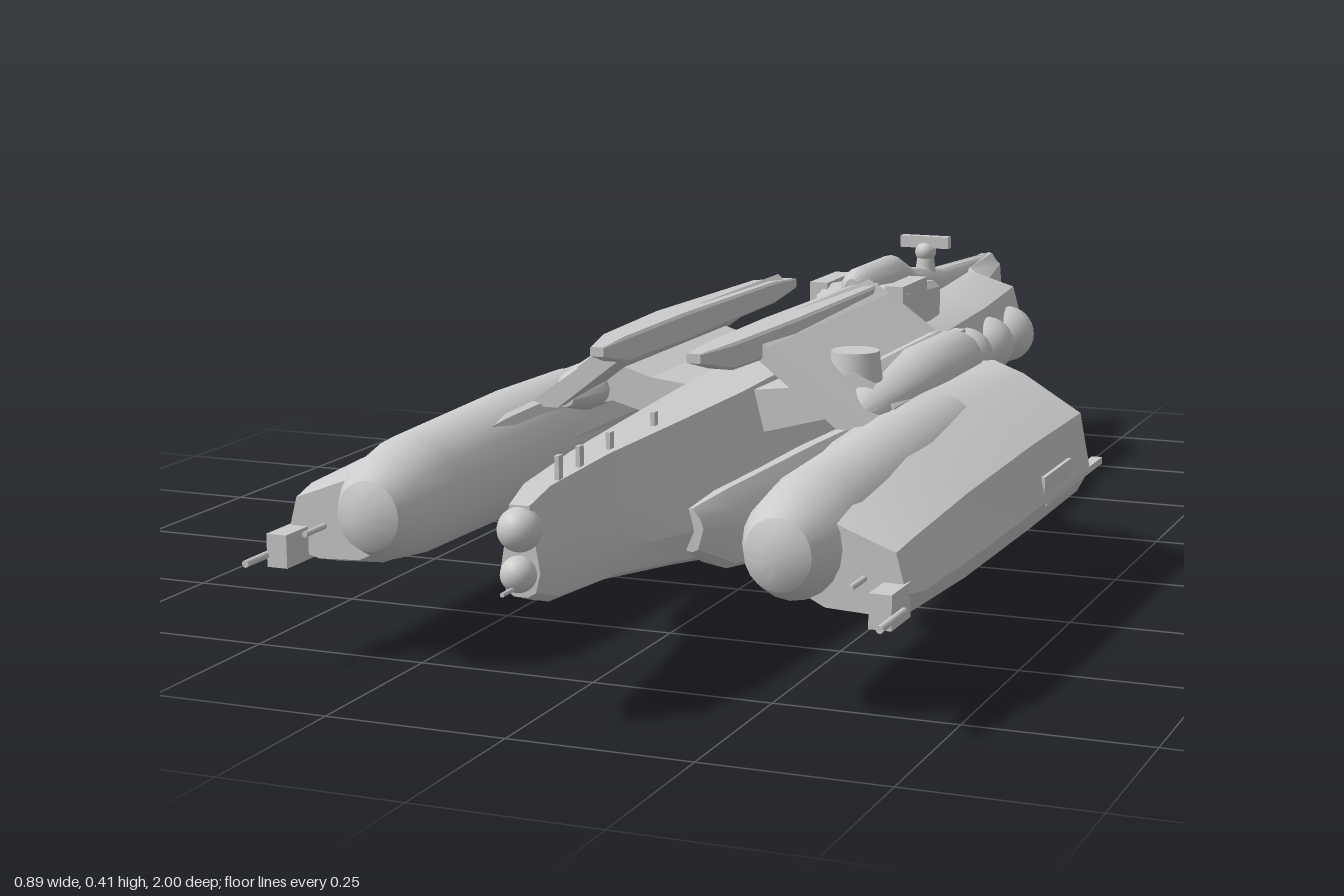
import * as THREE from 'three';
import { toCreasedNormals } from 'three/addons/utils/BufferGeometryUtils.js';

const mat = new THREE.MeshStandardMaterial({ color: 0xcccccc, side: THREE.DoubleSide });

// Outlines in a -1..1 square, counter-clockwise seen from the front
const round = (n) => Array.from({ length: n }, (_, i) => {
  const a = (i / n) * Math.PI * 2;
  return [Math.cos(a), Math.sin(a)];
});
const HULL = [[0.5, 1], [-0.5, 1], [-0.72, 0.3], [-1, -0.45], [-0.75, -0.88], [-0.35, -1], [0.35, -1], [0.75, -0.88], [1, -0.45], [0.72, 0.3]];
const TAIL = [[0.3, 1], [-0.3, 1], [-0.9, 0.7], [-1, 0.1], [-0.5, -0.9], [-0.3, -1], [0.3, -1], [0.5, -0.9], [1, 0.1], [0.9, 0.7]];
const POD = [[0.85, 0.35], [0, 0.85], [-0.45, 1], [-0.8, 0.92], [-1, 0.3], [-0.75, -0.5], [-0.15, -0.95], [0.5, -1], [0.82, -0.88], [1, -0.5]];
const SIDE = [[0.1, 1], [-1, 0.9], [-1, -0.9], [0.1, -1], [0.55, -0.85], [1, 0.1], [0.75, 0.55]];
const BLOCK = [[0.85, 1], [-0.85, 1], [-1, 0.8], [-1, -0.8], [-0.85, -1], [0.85, -1], [1, -0.8], [1, 0.8]];

export function createModel() {
  const root = new THREE.Group();

  function add(name, geo, x = 0, y = 0, z = 0) {
    const m = new THREE.Mesh(geo, mat);
    m.name = name;
    m.position.set(x, y, z);
    root.add(m);
    return m;
  }
  const box = (name, w, h, d, x, y, z) => add(name, new THREE.BoxGeometry(w, h, d), x, y, z);
  const ball = (name, r, x, y, z) => add(name, new THREE.SphereGeometry(r, 24, 16), x, y, z);
  const rod = (name, r, len, x, y, z) => {
    add(name, new THREE.CylinderGeometry(r, r, len, 12), x, y, z).rotation.x = Math.PI / 2;
  };

  // Skin an outline through rows of [z, x0, x1, y0, y1, skew], front to back, with end caps
  function loft(name, outline, rows, s = 1, crease = 0.6) {
    const n = outline.length, v = [], idx = [];
    const pts = s < 0 ? [...outline].reverse() : outline;
    for (const [z, x0, x1, y0, y1, skew = 0] of rows)
      for (const [u, w] of pts) {
        const x = (x0 + x1) / 2 + (u * (x1 - x0)) / 2;
        v.push(s * x, (y0 + y1) / 2 + (w * (y1 - y0)) / 2, z + skew * (x - 0.33));
      }
    for (let k = 0; k < rows.length - 1; k++)
      for (let i = 0; i < n; i++) {
        const a = k * n + i, b = k * n + ((i + 1) % n);
        idx.push(a, a + n, b, b, a + n, b + n);
      }
    const last = (rows.length - 1) * n;
    for (const [o, front] of [[0, true], [last, false]]) {
      const c = v.length / 3, sum = [0, 0, 0];
      for (let i = 0; i < n; i++) for (let d = 0; d < 3; d++) sum[d] += v[(o + i) * 3 + d] / n;
      v.push(...sum);
      for (let i = 0; i < n; i++) {
        const a = o + i, b = o + ((i + 1) % n);
        idx.push(c, front ? a : b, front ? b : a);
      }
    }
    const g = new THREE.BufferGeometry();
    g.setAttribute('position', new THREE.Float32BufferAttribute(v, 3));
    g.setIndex(idx);
    return add(name, toCreasedNormals(g, crease));
  }

  // Central hull, keel and tail
  loft('hull', HULL, [
    [0.95, -0.027, 0.027, 0.165, 0.28], [0.9, -0.036, 0.036, 0.148, 0.295],
    [0.75, -0.052, 0.052, 0.14, 0.305], [0.55, -0.075, 0.075, 0.112, 0.31],
    [0.35, -0.095, 0.095, 0.08, 0.315], [0.05, -0.105, 0.105, 0.034, 0.325],
    [-0.3, -0.105, 0.105, 0.05, 0.325], [-0.39, -0.1, 0.1, 0.08, 0.32]]);
  loft('keel', HULL.map(([x, y]) => [x, -y]).reverse(), [
    [0.08, -0.035, 0.035, 0.025, 0.05], [0, -0.045, 0.045, 0.002, 0.06], [-0.32, -0.045, 0.045, 0, 0.07]]);
  loft('tail', TAIL, [
    [-0.2, -0.11, 0.11, 0.08, 0.33], [-0.4, -0.12, 0.12, 0.1, 0.32], [-0.6, -0.12, 0.12, 0.145, 0.32],
    [-0.78, -0.115, 0.115, 0.185, 0.325], [-0.8, -0.055, 0.055, 0.19, 0.33],
    [-0.95, -0.03, 0.03, 0.215, 0.335], [-0.98, -0.02, 0.02, 0.23, 0.325]]);
  loft('upperRearBlock', BLOCK, [
    [-0.23, -0.055, 0.055, 0.26, 0.36], [-0.27, -0.08, 0.08, 0.26, 0.375], [-0.45, -0.075, 0.075, 0.26, 0.36], [-0.56, -0.04, 0.04, 0.27, 0.33]]);
  loft('dorsalRidge', round(16), [
    [-0.23, -0.012, 0.012, 0.36, 0.39], [-0.26, -0.03, 0.03, 0.33, 0.403], [-0.42, -0.03, 0.03, 0.33, 0.403],
    [-0.5, -0.028, 0.028, 0.3, 0.372], [-0.66, -0.024, 0.024, 0.29, 0.35], [-0.97, -0.015, 0.015, 0.27, 0.335]]);

  // Nose sensors and aerials
  ball('upperNoseSensor', 0.028, 0, 0.25, 0.95);
  ball('lowerNoseSensor', 0.023, 0, 0.195, 0.955);
  rod('noseProbe', 0.003, 0.08, 0, 0.18, 0.96);
  rod('tailProbe', 0.003, 0.06, 0, 0.24, -0.97);
  for (const z of [0.87, 0.81, 0.72, 0.58]) box('noseAerial', 0.006, 0.035, 0.012, 0.015, 0.31, z);

  // Flight deck at the back of the fore hull
  box('flightDeck', 0.09, 0.035, 0.26, 0, 0.325, -0.04);
  for (let i = -2; i <= 2; i++) box('deckWindow', 0.009, 0.014, 0.01, i * 0.013, 0.327, 0.092);

  // Rear turret
  add('turretPost', new THREE.CylinderGeometry(0.012, 0.02, 0.06, 12), 0, 0.365, -0.6);
  ball('turretBall', 0.018, 0, 0.385, -0.6);
  box('turretBar', 0.085, 0.02, 0.016, 0, 0.402, -0.6);

  // Raised dome on the left wing only
  add('wingDome', new THREE.CylinderGeometry(0.034, 0.042, 0.07, 24), 0.187, 0.335, 0.27);

  for (const s of [1, -1]) {
    // Sloping wing plate, swept up to its inner rail
    const plate = new THREE.Shape([
      [0.062, 0.4], [0.075, 0.412], [0.11, 0.392], [0.26, 0.285], [0.21, 0.285], [0.1, 0.37],
    ].map(([x, y]) => new THREE.Vector2(s * x, y)));
    add('wingPlate', new THREE.ExtrudeGeometry(plate, { depth: 0.51, bevelEnabled: false }), 0, 0, -0.1);
    loft('wingRail', BLOCK, [
      [0.575, 0.06, 0.08, 0.395, 0.408], [0.5, 0.058, 0.098, 0.375, 0.412],
      [0.3, 0.058, 0.108, 0.372, 0.413], [-0.05, 0.058, 0.1, 0.375, 0.408], [-0.14, 0.06, 0.078, 0.385, 0.4]], s);

    // Wing root and the hump over the pod joint
    const rootShape = new THREE.Shape([
      [0.04, 0.31], [0.11, 0.318], [0.2, 0.345], [0.26, 0.3], [0.25, 0.26], [0.17, 0.28], [0.06, 0.25],
    ].map(([x, y]) => new THREE.Vector2(s * x, y)));
    add('wingRoot', new THREE.ExtrudeGeometry(rootShape, { depth: 0.38, bevelEnabled: false }), 0, 0, -0.07);
    loft('wingHump', round(16), [
      [0.38, 0.2, 0.23, 0.28, 0.3], [0.32, 0.175, 0.255, 0.265, 0.325], [0.1, 0.17, 0.27, 0.26, 0.347],
      [-0.08, 0.175, 0.265, 0.26, 0.345], [-0.11, 0.19, 0.25, 0.275, 0.335]], s);

    // Outer pod: wedge shell with a hollow rear
    loft('podShell', POD, [
      [0.77, 0.25, 0.435, 0.135, 0.255], [0.72, 0.23, 0.443, 0.12, 0.275], [0.5, 0.215, 0.445, 0.108, 0.295],
      [0.2, 0.208, 0.445, 0.104, 0.303], [-0.08, 0.215, 0.445, 0.106, 0.3, 0.3],
      [-0.08, 0.226, 0.434, 0.118, 0.288, 0.3], [0.12, 0.25, 0.415, 0.14, 0.27]], s);
    loft('podEngine', round(20), [
      [0.83, 0.262, 0.31, 0.185, 0.235], [0.82, 0.24, 0.33, 0.165, 0.26], [0.78, 0.222, 0.35, 0.145, 0.282],
      [0.7, 0.214, 0.362, 0.135, 0.297], [0.4, 0.21, 0.365, 0.132, 0.305], [0.2, 0.212, 0.36, 0.14, 0.302],
      [0.1, 0.24, 0.34, 0.17, 0.28]], s);

    // Pod fittings: side hatch, tail strake, and gun
    box('podHatch', 0.012, 0.03, 0.14, s * 0.437, 0.175, 0.12);
    box('podStrake', 0.016, 0.01, 0.3, s * 0.436, 0.152, 0.03);
    box('gunMount', 0.03, 0.045, 0.07, s * 0.42, 0.155, 0.79);
    rod('gunBarrel', 0.005, 0.09, s * 0.437, 0.148, 0.83);
    rod('gunBarrel', 0.004, 0.06, s * 0.38, 0.18, 0.79);

    // Lower side sponson with twin exhausts
    loft('sponson', SIDE, [
      [0.58, 0.05, 0.085, 0.14, 0.2], [0.5, 0.05, 0.112, 0.1, 0.21], [0.2, 0.06, 0.135, 0.06, 0.215],
      [-0.05, 0.06, 0.145, 0.05, 0.21], [-0.34, 0.06, 0.145, 0.05, 0.18], [-0.39, 0.07, 0.142, 0.06, 0.165]], s);
    for (const y of [0.088, 0.137])
      loft('exhaust', round(16), [
        [-0.36, 0.085, 0.131, y - 0.023, y + 0.023], [-0.41, 0.085, 0.131, y - 0.023, y + 0.023],
        [-0.41, 0.092, 0.124, y - 0.016, y + 0.016], [-0.37, 0.092, 0.124, y - 0.016, y + 0.016]], s);

    // Shoulder boxes and tail tanks
    box('shoulderBox', 0.03, 0.06, 0.12, s * 0.064, 0.348, -0.31);
    box('rearPanel', 0.02, 0.06, 0.25, s * 0.125, 0.26, -0.28);
    for (const z of [-0.48, -0.6, -0.72]) ball('tank', 0.048, s * 0.11, 0.23, z);
  }
  return root;
}
